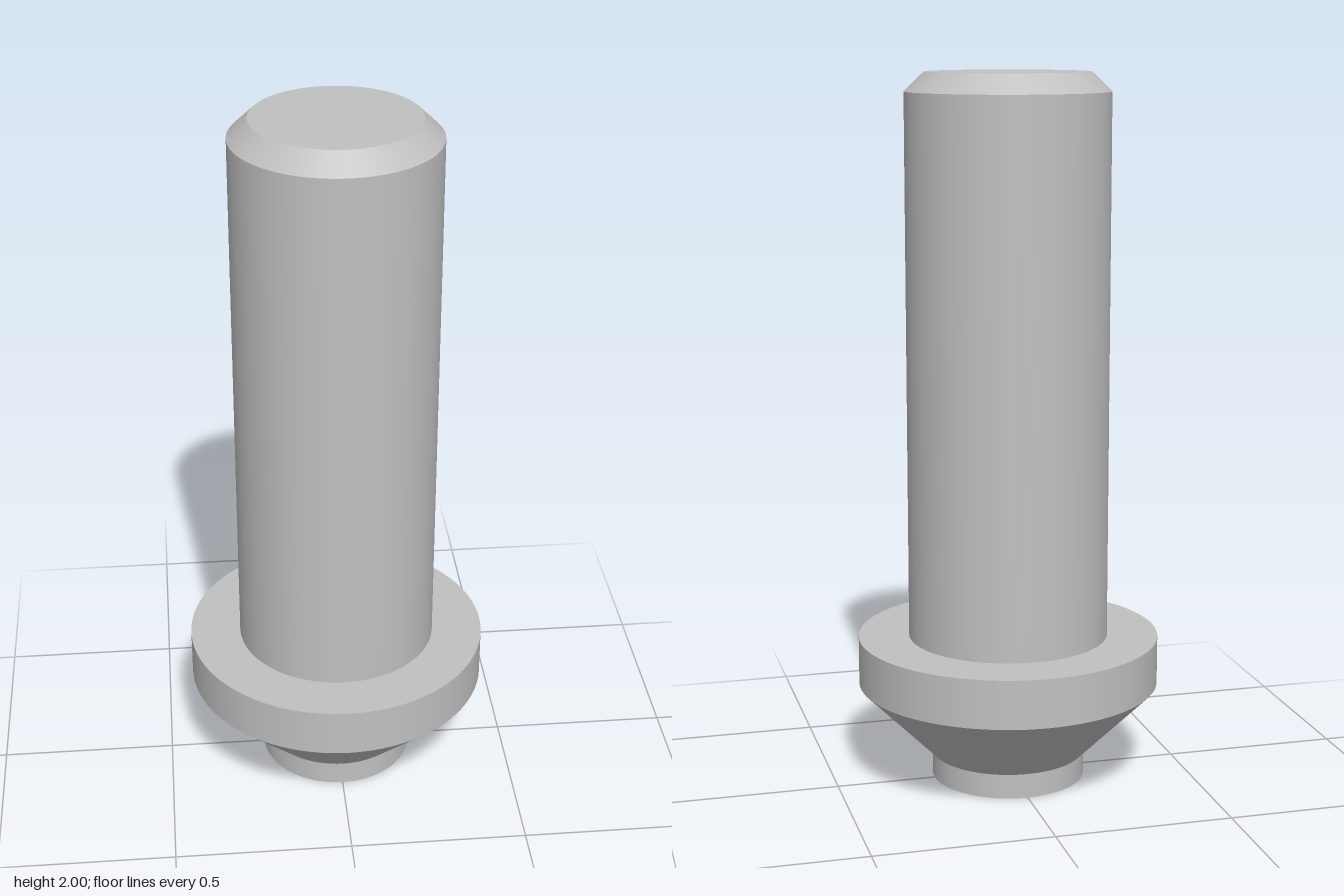
import * as THREE from 'three';

const SEGMENTS = 96;

export function createModel() {
  const group = new THREE.Group();
  group.name = 'shoulderedPin';
  const steel = new THREE.MeshStandardMaterial({ color: 0xc0c0c0 });
  steel.name = 'light grey steel';

  // Smooth side wall of a round section
  function wall(name, rBottom, rTop, y0, y1) {
    const geometry = new THREE.CylinderGeometry(rTop, rBottom, y1 - y0, SEGMENTS, 1, true);
    geometry.translate(0, (y0 + y1) / 2, 0);
    add(name, geometry);
  }

  // Flat ring or disc, facing up or down
  function face(name, inner, outer, y, up) {
    const geometry = inner > 0
      ? new THREE.RingGeometry(inner, outer, SEGMENTS)
      : new THREE.CircleGeometry(outer, SEGMENTS);
    geometry.rotateX(up ? -Math.PI / 2 : Math.PI / 2);
    // Line the rim up with the wall segments
    geometry.translate(0, y, 0);
    add(name, geometry);
  }

  function add(name, geometry) {
    const mesh = new THREE.Mesh(geometry, steel);
    mesh.name = name;
    group.add(mesh);
  }

  // Foot and cone
  face('footBottom', 0, 0.218, 0, false);
  wall('foot', 0.218, 0.218, 0, 0.07);
  wall('taperedCone', 0.218, 0.427, 0.07, 0.279);

  // Collar
  wall('collar', 0.427, 0.427, 0.279, 0.417);
  face('collarTop', 0.283, 0.427, 0.417, true);

  // Shaft with chamfered end
  wall('shaft', 0.283, 0.283, 0.417, 1.947);
  wall('chamfer', 0.283, 0.228, 1.947, 2);
  face('shaftTop', 0, 0.228, 2, true);

  return group;
}
